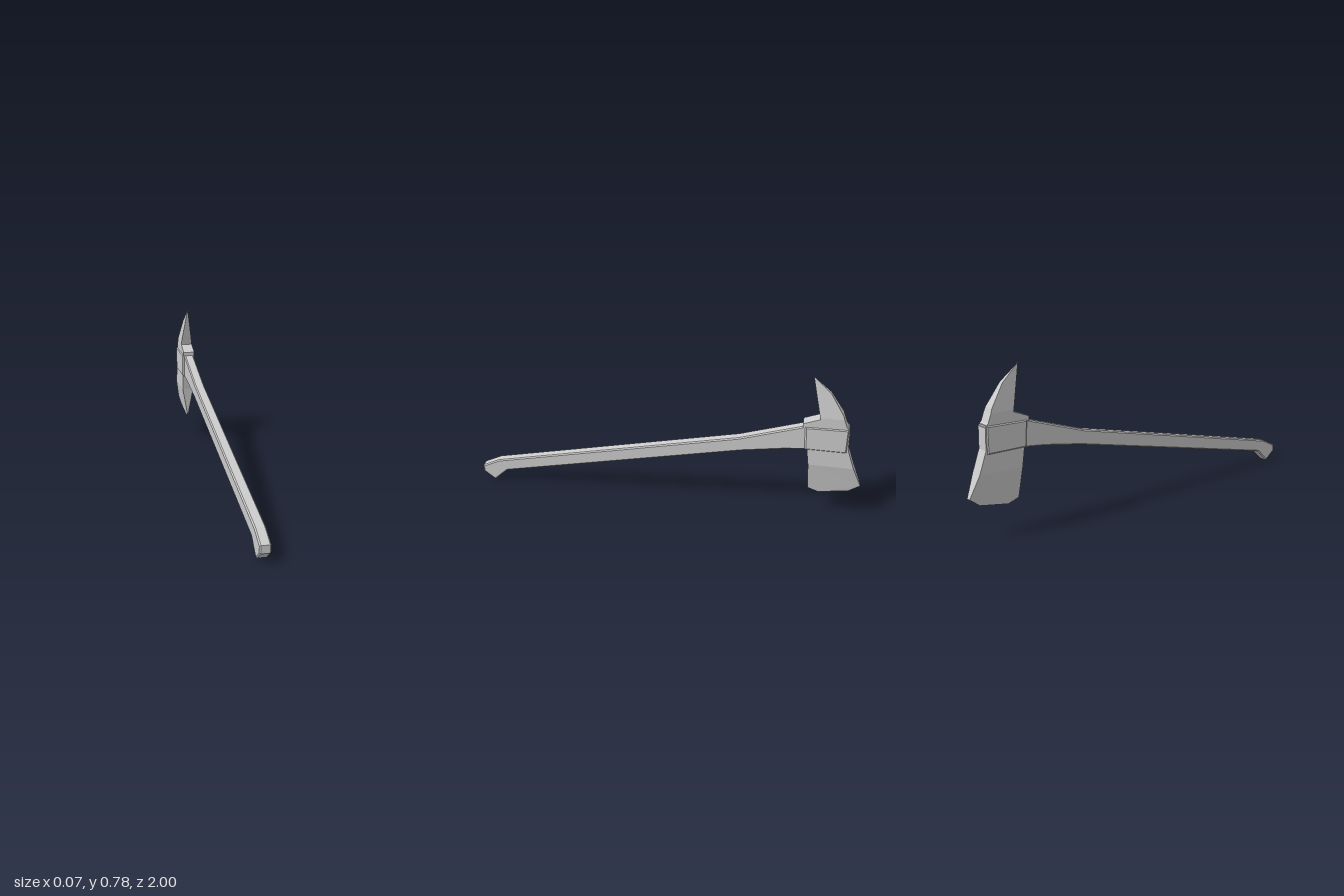
import * as THREE from 'three';

const steel = new THREE.MeshStandardMaterial({ color: 0xcccccc });
steel.name = 'light grey';

// Side outline as [distance towards the back, height]
function outline(points) {
  return new THREE.Shape(points.map(([u, y]) => new THREE.Vector2(u, y)));
}

// Slab with bevelled rims, centred across x
function bevelledSlab(name, points, halfWidth, bevel) {
  const geometry = new THREE.ExtrudeGeometry(outline(points), {
    depth: 2 * (halfWidth - bevel), bevelEnabled: true, bevelSegments: 1,
    bevelThickness: bevel, bevelSize: bevel, bevelOffset: -bevel,
  });
  geometry.translate(0, 0, bevel - halfWidth);
  geometry.rotateY(Math.PI / 2);
  return part(name, geometry);
}

// Slab whose half width depends on height, for wedges and points
function wedge(name, points, halfWidthAt) {
  const geometry = new THREE.ExtrudeGeometry(outline(points), { depth: 2, bevelEnabled: false });
  geometry.translate(0, 0, -1);
  geometry.rotateY(Math.PI / 2);
  const pos = geometry.attributes.position;
  for (let i = 0; i < pos.count; i++) {
    pos.setX(i, Math.sign(pos.getX(i)) * halfWidthAt(pos.getY(i)));
  }
  geometry.computeVertexNormals();
  return part(name, geometry);
}

function part(name, geometry) {
  const mesh = new THREE.Mesh(geometry, steel);
  mesh.name = name;
  return mesh;
}

export function createModel() {
  const axe = new THREE.Group();
  axe.name = 'axe';

  // Long handle with a hooked grip, flaring towards the head
  axe.add(bevelledSlab('handle', [
    [-0.94, 0], [-0.865, 0.068], [0.4, 0.343], [0.6, 0.376], [0.75, 0.393],
    [0.75, 0.515], [0.69, 0.515], [0.38, 0.415], [-0.91, 0.127], [-1, 0.084], [-1, 0.047],
  ], 0.026, 0.006));

  const head = new THREE.Group();
  head.name = 'head';
  axe.add(head);
  const w = 0.031;

  // Straight-sided middle of the head
  head.add(wedge('headCore', [
    [0.732, 0.305], [0.955, 0.305], [0.918, 0.41], [0.916, 0.515], [0.9, 0.535], [0.885, 0.575],
    [0.768, 0.575], [0.77, 0.566], [0.69, 0.535], [0.69, 0.513], [0.72, 0.513], [0.72, 0.39],
  ], () => w));

  // Collar around the handle socket
  head.add(bevelledSlab('collar', [
    [0.708, 0.39], [0.914, 0.39], [0.914, 0.525], [0.7, 0.52],
  ], 0.036, 0.008));

  // Cutting blade, thinning towards its lower edge
  head.add(wedge('blade', [
    [0.732, 0.305], [0.742, 0.15], [0.797, 0.13], [0.945, 0.156], [1, 0.197], [0.955, 0.305],
  ], (y) => Math.max(0.001, w * (y - 0.135) / 0.17)));

  // Curved spike, narrowing to a point
  head.add(wedge('spike', [
    [0.768, 0.575], [0.885, 0.575], [0.878, 0.595], [0.81, 0.7], [0.72, 0.779],
  ], (y) => Math.max(0.0005, w * (0.779 - y) / 0.204)));

  return axe;
}
